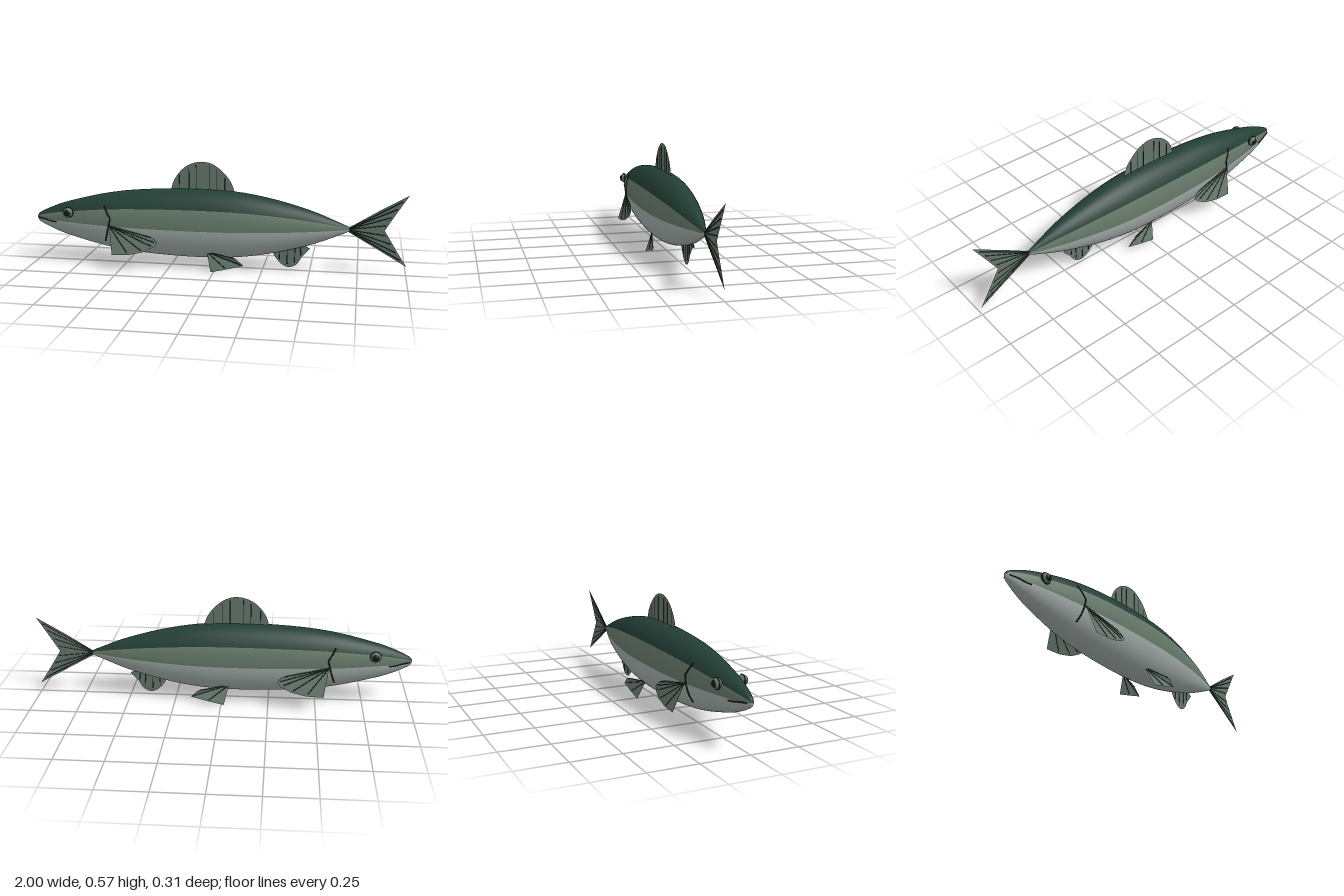
import * as THREE from 'three';

const mat = (name, color, side = THREE.FrontSide) => {
  const m = new THREE.MeshStandardMaterial({ color, side });
  m.name = name;
  return m;
};

const V = (x, y, z = 0) => new THREE.Vector3(x, y, z);
const CY = 0.239;   // height of the body axis

// Body profile: x against half height
const profile = new THREE.SplineCurve([
  [-1, 0.012], [-0.98, 0.03], [-0.9, 0.067], [-0.8, 0.1], [-0.6, 0.148], [-0.4, 0.174],
  [-0.13, 0.186], [0.1, 0.178], [0.3, 0.146], [0.5, 0.092], [0.65, 0.034], [0.7, 0.012],
].map(([x, h]) => new THREE.Vector2(x, h))).getPoints(66);

const halfHeight = (x) => {
  const i = Math.max(1, profile.findIndex((p) => p.x >= x));
  const a = profile[i - 1], b = profile[i];
  return a.y + (b.y - a.y) * (x - a.x) / (b.x - a.x);
};
const halfWidth = (h) => h * 0.66;

// Outward z of the body skin at a given x and y
const skinZ = (x, y) => {
  const h = halfHeight(x), t = Math.min(1, Math.abs(y - CY) / h);
  return halfWidth(h) * Math.sqrt(1 - t * t);
};

// Lofted ellipses; each angular band takes its own colour
function bodyGeometry() {
  const bands = [[-5, 30, 6, 1], [30, 150, 18, 0], [150, 185, 6, 1], [185, 355, 24, 2]];
  const angles = [], bandMat = [];
  for (const [from, to, n, m] of bands) {
    for (let i = 0; i < n; i++) {
      angles.push(THREE.MathUtils.degToRad(from + (to - from) * i / n));
      bandMat.push(m);
    }
  }
  const N = angles.length, R = profile.length, pos = [];
  for (const p of profile) {
    for (const a of angles) pos.push(p.x, CY + p.y * Math.sin(a), halfWidth(p.y) * Math.cos(a));
  }
  pos.push(-1.004, CY, 0, 0.704, CY, 0);
  const nose = N * R, end = nose + 1, lists = [[], [], []];
  for (let j = 0; j < N; j++) {
    const k = (j + 1) % N, out = lists[bandMat[j]];
    for (let i = 0; i < R - 1; i++) {
      const a = i * N + j, b = i * N + k, c = a + N, d = b + N;
      out.push(a, c, b, b, c, d);
    }
    out.push(nose, j, k, end, (R - 1) * N + k, (R - 1) * N + j);
  }
  const g = new THREE.BufferGeometry();
  g.setAttribute('position', new THREE.Float32BufferAttribute(pos, 3));
  g.setIndex(lists.flat());
  let start = 0;
  lists.forEach((l, m) => { g.addGroup(start, l.length, m); start += l.length; });
  g.computeVertexNormals();
  return g;
}

export function createModel() {
  const model = new THREE.Group();
  model.name = 'fish';
  const back = mat('dark green back', 0x233f35);
  const flank = mat('olive flank', 0x66796a);
  const belly = mat('pale belly', 0xa0aca8);
  const finMat = mat('fin', 0x64766a, THREE.DoubleSide);
  const dark = mat('dark line', 0x1b2823);
  const pupilMat = mat('pupil', 0x0f1a18);

  const add = (parent, name, geo, material) => {
    const m = new THREE.Mesh(geo, material);
    m.name = name;
    parent.add(m);
    return m;
  };

  // Thin dark line through points
  const line = (parent, name, pts, r) => {
    const path = new THREE.CurvePath();
    for (let i = 1; i < pts.length; i++) path.add(new THREE.LineCurve3(pts[i - 1], pts[i]));
    return add(parent, name, new THREE.TubeGeometry(path, (pts.length - 1) * 4, r, 5), dark);
  };

  // Fin membrane fanned from a root, with rays
  const fin = (name, root, edge, rays) => {
    const group = new THREE.Group();
    group.name = name;
    const pos = [];
    for (let i = 1; i < edge.length; i++) {
      for (const p of [root, edge[i - 1], edge[i]]) pos.push(p.x, p.y, p.z);
    }
    const g = new THREE.BufferGeometry();
    g.setAttribute('position', new THREE.Float32BufferAttribute(pos, 3));
    g.computeVertexNormals();
    add(group, name + 'Membrane', g, finMat);
    for (const [a, b] of rays) line(group, name + 'Ray', [a, b], 0.0025);
    model.add(group);
  };
  const flat = (pts) => new THREE.CatmullRomCurve3(pts.map(([x, y]) => V(x, y))).getPoints(28);
  const fanRays = (root, tips) => tips.map((t) => [root, root.clone().lerp(t, 0.94)]);

  add(model, 'body', bodyGeometry(), [back, flank, belly]);

  // Dorsal fin
  fin('dorsalFin', V(-0.08, 0.4),
    flat([[-0.25, 0.4], [-0.235, 0.46], [-0.2, 0.515], [-0.15, 0.555], [-0.08, 0.573],
      [-0.02, 0.56], [0.04, 0.515], [0.08, 0.46], [0.1, 0.4]]),
    [[-0.2, 0.5], [-0.15, 0.54], [-0.11, 0.555], [-0.04, 0.555], [0, 0.535], [0.045, 0.49]]
      .map(([x, y]) => [V(x, 0.4), V(x, y)]));

  // Anal fin
  fin('analFin', V(0.4, 0.14),
    flat([[0.295, 0.11], [0.32, 0.065], [0.355, 0.03], [0.39, 0.018], [0.43, 0.035],
      [0.46, 0.08], [0.5, 0.125]]).concat([V(0.46, 0.15)]),
    [[0.34, 0.06], [0.38, 0.035], [0.42, 0.045], [0.45, 0.085]]
      .map(([x, y]) => [V(x, 0.13), V(x, y)]));

  // Forked tail
  const tailRoot = V(0.69, CY - 0.002);
  const tips = [[1, 0.43], [0.94, 0.335], [0.882, 0.24], [0.94, 0.145], [1, 0.05]].map(([x, y]) => V(x, y));
  const tailRays = [];
  for (const [a, b] of [[0, 2], [4, 2]]) {
    for (const t of [0.12, 0.35, 0.6, 0.85]) tailRays.push(tips[a].clone().lerp(tips[b], t));
  }
  fin('tailFin', tailRoot, [V(0.7, 0.249), V(0.85, 0.343), ...tips, V(0.85, 0.137), V(0.7, 0.223)],
    fanRays(tailRoot, tailRays));

  for (const [side, s] of [['left', 1], ['right', -1]]) {
    // Pectoral fin
    const slope = (x, y) => V(x, y, s * (0.106 + (0.23 - y) * 0.35));
    const pecRoot = slope(-0.565, 0.23);
    const pec = [[-0.54, 0.084], [-0.45, 0.088], [-0.37, 0.105], [-0.315, 0.132], [-0.297, 0.152],
      [-0.32, 0.178], [-0.4, 0.203]].map(([x, y]) => slope(x, y));
    fin(side + 'PectoralFin', pecRoot, [...pec, pecRoot], fanRays(pecRoot, pec.slice(1, 6)));

    // Pelvic fin
    const pelRoot = V(-0.04, 0.1, s * 0.072);
    const pel = [V(-0.015, 0.002, s * 0.112), V(0.07, 0.022, s * 0.112),
      V(0.16, 0.045, s * 0.112), V(0.12, 0.083, s * 0.112)];
    fin(side + 'PelvicFin', pelRoot, pel, fanRays(pelRoot, pel.slice(1)));

    // Gill cover line and mouth line
    const onSkin = ([x, y]) => V(x, y, s * (skinZ(x, y) + 0.002));
    line(model, side + 'GillLine', [[-0.597, 0.333], [-0.58, 0.3], [-0.56, 0.268], [-0.57, 0.225],
      [-0.582, 0.18], [-0.595, 0.14]].map(onSkin), 0.004);
    line(model, side + 'MouthLine', [[-0.99, 0.238], [-0.95, 0.234], [-0.915, 0.227], [-0.88, 0.225]].map(onSkin), 0.0035);

    // Eye: dark rim, olive iris, pupil
    const eye = new THREE.Group();
    eye.name = side + 'Eye';
    eye.position.set(-0.805, 0.285, s * 0.066);
    const ball = add(eye, 'eyeball', new THREE.SphereGeometry(0.027, 24, 16), flank);
    ball.scale.z = 0.8;
    add(eye, 'eyeRim', new THREE.TorusGeometry(0.026, 0.004, 8, 28), dark);
    const pupil = add(eye, 'pupil', new THREE.SphereGeometry(0.019, 20, 14), pupilMat);
    pupil.position.z = s * 0.013;
    pupil.scale.z = 0.65;
    model.add(eye);
  }
  return model;
}
